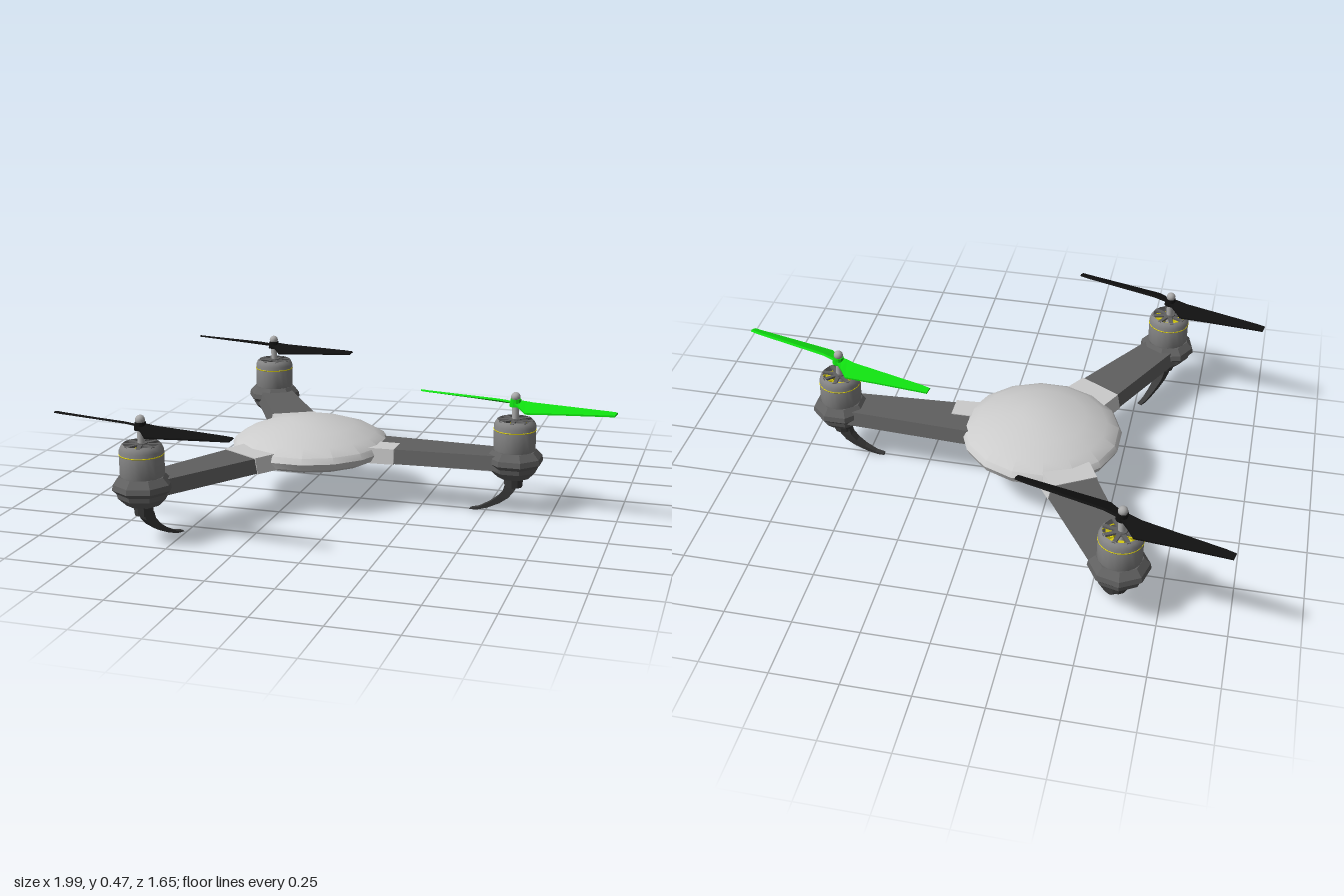
import * as THREE from 'three';
import { toCreasedNormals } from 'three/addons/utils/BufferGeometryUtils.js';

const paint = (color, extra = {}) => new THREE.MeshStandardMaterial({ color, flatShading: true, ...extra });
const MAT = {
  shell: paint(0xcccccc, { flatShading: false }),
  collar: paint(0xcccccc),
  frame: paint(0x606060),
  leg: paint(0x3a3a3a),
  can: paint(0x858585, { flatShading: false, side: THREE.DoubleSide }),
  core: paint(0x303030),
  metal: paint(0xaaaaaa, { flatShading: false }),
  coil: paint(0xd8cc10),
  black: paint(0x101010),
  green: paint(0x10dd10),
};

function add(parent, name, geometry, material, x = 0, y = 0, z = 0) {
  const mesh = new THREE.Mesh(geometry, material);
  mesh.name = name;
  mesh.position.set(x, y, z);
  parent.add(mesh);
  return mesh;
}

// Skins equal-sized rings of [x, y, z], wound anticlockwise seen from the last ring.
function loft(rings) {
  const n = rings[0].length, index = [];
  rings.slice(1).forEach((_, i) => {
    for (let j = 0; j < n; j++) {
      const a = i * n + j, b = i * n + (j + 1) % n;
      index.push(a, b, b + n, a, b + n, a + n);
    }
  });
  const last = (rings.length - 1) * n;
  for (let j = 1; j < n - 1; j++) {
    index.push(0, j + 1, j, last, last + j, last + j + 1);
  }
  const g = new THREE.BufferGeometry();
  g.setAttribute('position', new THREE.Float32BufferAttribute(rings.flat(2), 3));
  g.setIndex(index);
  const flat = g.toNonIndexed();
  flat.computeVertexNormals();
  return flat;
}

const lathe = (points, sides, start = 0) =>
  new THREE.LatheGeometry(points.map(([r, y]) => new THREE.Vector2(r, y)), sides, start);

// Trapezoid section of an arm; z0 and z1 are its edges at the bottom
const armRing = (x, z0, z1, bottom, top, inset) => [
  [x, bottom, z0], [x, top, z0 + inset], [x, top, z1 - inset], [x, bottom, z1],
];

// Two-bladed propeller, pitched about its long axis
function propeller(material) {
  const g = new THREE.Group();
  g.name = 'propeller';
  // radius, leading edge, trailing edge, drop of the trailing edge
  const stations = [
    [0, -0.02, 0.02, 0.004], [0.035, -0.014, 0.04, 0.014], [0.07, -0.008, 0.066, 0.024],
    [0.2, -0.009, 0.048, 0.016], [0.37, -0.01, 0.026, 0.007], [0.405, -0.007, 0.022, 0.005],
  ];
  const rings = stations.map(([x, lead, trail, drop]) => [
    [x, 0.002, lead], [x, 0.008, lead + 0.006],
    [x, 0.006 - drop, trail], [x, -drop, trail],
  ]);
  const blade = loft(rings);
  for (const turn of [0, Math.PI]) add(g, 'blade', blade, material).rotation.y = turn;
  add(g, 'propellerHub', new THREE.CylinderGeometry(0.02, 0.024, 0.028, 12), material);
  add(g, 'propellerNut', new THREE.SphereGeometry(0.018, 12, 8), MAT.metal, 0, 0.022, 0);
  return g;
}

// Motor with vented bell and yellow windings
function motor() {
  const g = new THREE.Group();
  g.name = 'motor';
  const can = lathe([[0.074, 0.24], [0.08, 0.255], [0.08, 0.345], [0.074, 0.36], [0.066, 0.368]], 20);
  add(g, 'motorCan', toCreasedNormals(can, 0.6), MAT.can);
  add(g, 'motorCore', new THREE.CylinderGeometry(0.07, 0.07, 0.07, 16), MAT.core, 0, 0.285, 0);
  const rim = add(g, 'motorRim', new THREE.TorusGeometry(0.079, 0.0025, 6, 24), MAT.coil, 0, 0.33, 0);
  rim.rotation.x = Math.PI / 2;
  for (let i = 0; i < 8; i++) {
    const a = (i + 0.5) * Math.PI / 4;
    const coil = add(g, 'coil', new THREE.BoxGeometry(0.038, 0.03, 0.02), MAT.coil,
      0.046 * Math.cos(a), 0.33, -0.046 * Math.sin(a));
    coil.rotation.y = a;
  }
  for (let i = 0; i < 4; i++) {
    const spoke = add(g, 'bellSpoke', new THREE.BoxGeometry(0.138, 0.008, 0.014), MAT.frame, 0, 0.363, 0);
    spoke.rotation.y = i * Math.PI / 4;
  }
  add(g, 'bellCentre', new THREE.CylinderGeometry(0.022, 0.026, 0.012, 12), MAT.frame, 0, 0.365, 0);
  add(g, 'motorShaft', new THREE.CylinderGeometry(0.013, 0.013, 0.12, 12), MAT.metal, 0, 0.38, 0);
  return g;
}

// Curved claw-like leg sweeping in towards the body
function legGeometry() {
  const stations = [ // height, inner x, outer x, half width
    [0.112, -0.03, 0.014, 0.02], [0.085, -0.038, 0.004, 0.019], [0.06, -0.058, -0.016, 0.017],
    [0.035, -0.09, -0.05, 0.014], [0.012, -0.132, -0.098, 0.011], [0.004, -0.165, -0.125, 0.01],
    [0, -0.167, -0.14, 0.01],
  ];
  return loft(stations.map(([y, xi, xo, h]) => [[xo, y, -h], [xo, y, h], [xi, y, h], [xi, y, -h]]));
}

// Arm along local +x, carrying pod, motor, leg and propeller
function arm(turn, bladeMaterial, halfCollar) {
  const g = new THREE.Group();
  g.name = 'arm';
  g.rotation.y = turn;
  add(g, 'armBeam', loft([
    armRing(0.2, -0.108, 0.108, 0.182, 0.236, 0.014),
    armRing(0.78, -0.078, 0.078, 0.182, 0.236, 0.014),
  ]), MAT.frame);
  add(g, 'armCollar', loft([
    armRing(0.2, halfCollar ? 0 : -0.111, 0.111, 0.18, 0.239, halfCollar ? 0.006 : 0.014),
    armRing(0.36, halfCollar ? 0 : -0.103, 0.103, 0.18, 0.239, halfCollar ? 0.006 : 0.014),
  ]), MAT.collar);

  const end = new THREE.Group();
  end.name = 'motorUnit';
  end.position.x = 0.805;
  g.add(end);
  add(end, 'motorPod', lathe([[0, 0.143], [0.062, 0.143], [0.092, 0.172], [0.096, 0.19],
    [0.112, 0.205], [0.108, 0.225], [0.084, 0.25], [0, 0.25]], 8, Math.PI / 8), MAT.frame);
  add(end, 'legSocket', new THREE.CylinderGeometry(0.038, 0.034, 0.044, 10), MAT.leg, 0, 0.126, 0);
  add(end, 'leg', legGeometry(), MAT.leg);
  end.add(motor());

  // All propellers are parked at the same heading
  const prop = propeller(bladeMaterial);
  prop.rotation.set(0, -0.27, 0.025);
  const heading = new THREE.Group();
  heading.name = 'propellerMount';
  heading.position.y = 0.432;
  heading.rotation.y = -turn;
  heading.add(prop);
  end.add(heading);
  return g;
}

export function createModel() {
  const model = new THREE.Group();
  model.name = 'tricopter';
  const craft = new THREE.Group();
  craft.name = 'airframe';
  craft.position.x = -0.2;
  model.add(craft);

  // Sixteen-sided domed body with a flat underside
  const shell = lathe([[0, 0.165], [0.255, 0.165], [0.298, 0.185], [0.31, 0.21], [0.298, 0.232],
    [0.25, 0.26], [0.17, 0.288], [0.08, 0.306], [0, 0.312]], 16, Math.PI / 16);
  add(craft, 'bodyShell', toCreasedNormals(shell, 0.6), MAT.shell);

  craft.add(arm(0, MAT.green, true));
  for (const side of [-1, 1]) craft.add(arm(side * 2 * Math.PI / 3, MAT.black, false));
  return model;
}
